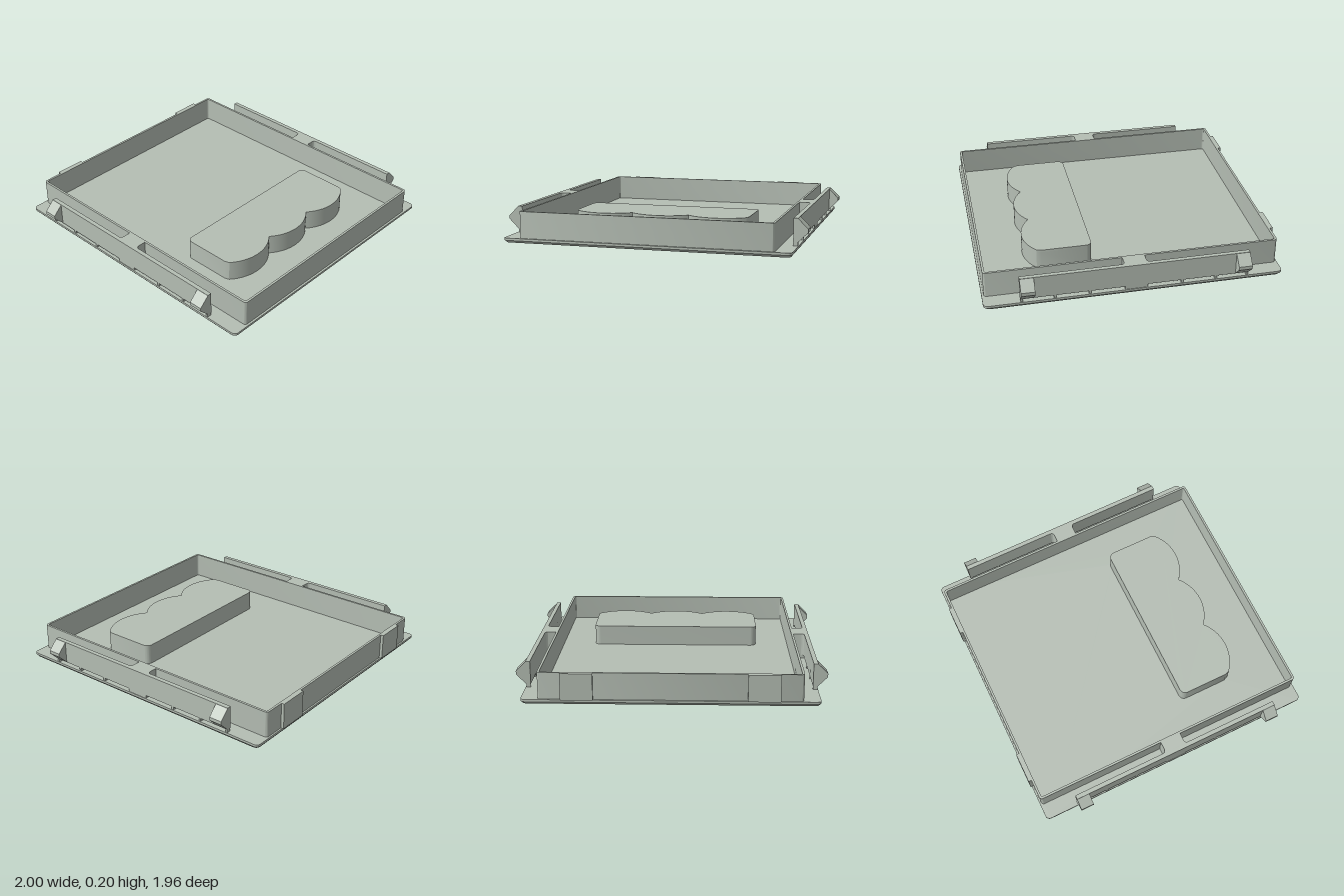
import * as THREE from 'three';
import { toCreasedNormals } from 'three/addons/utils/BufferGeometryUtils.js';

const body = new THREE.MeshStandardMaterial({ color: 0xb5beb4 });
body.name = 'sage grey';

const FLOOR = 0.03, TOP = 0.205;

// Rounded rectangle in plan, drawn as (x, z)
function roundRect(x0, z0, x1, z1, r, Type = THREE.Shape) {
  const s = new Type();
  s.moveTo(x0 + r, z0);
  s.lineTo(x1 - r, z0);
  s.absarc(x1 - r, z0 + r, r, -Math.PI / 2, 0);
  s.lineTo(x1, z1 - r);
  s.absarc(x1 - r, z1 - r, r, 0, Math.PI / 2);
  s.lineTo(x0 + r, z1);
  s.absarc(x0 + r, z1 - r, r, Math.PI / 2, Math.PI);
  s.lineTo(x0, z0 + r);
  s.absarc(x0 + r, z0 + r, r, Math.PI, Math.PI * 1.5);
  return s;
}

// Finger grip outline: straight back, three scallops at the front; t is an inset
function gripOutline(t, Type = THREE.Shape) {
  const s = new Type(), w = 0.587 - t, back = 0.22 + t, r = 0.04 - t;
  const R = 0.293 - t, zc = 0.367, step = 0.383;
  const cusp = Math.acos(step / 2 / R);
  const end = Math.acos((w - step) / R);
  s.moveTo(-w + r, back);
  s.lineTo(w - r, back);
  s.absarc(w - r, back + r, r, -Math.PI / 2, 0);
  s.lineTo(w, zc + R * Math.sin(end) - 0.02);
  s.absarc(step, zc, R, end + 0.05, Math.PI - cusp);
  s.absarc(0, zc, R, cusp, Math.PI - cusp);
  s.absarc(-step, zc, R, cusp, Math.PI - end - 0.05);
  s.lineTo(-w, zc + R * Math.sin(end) - 0.02);
  s.lineTo(-w, back + r);
  s.absarc(-w + r, back + r, r, Math.PI, Math.PI * 1.5);
  return s;
}

// Extrude a plan shape between two heights
function slab(shape, y0, y1, steps = 1) {
  const g = new THREE.ExtrudeGeometry(shape, { depth: y1 - y0, steps, bevelEnabled: false, curveSegments: 12 });
  return g.rotateX(Math.PI / 2).translate(0, y1, 0);
}

function add(parent, name, geometry) {
  const m = new THREE.Mesh(geometry, body);
  m.name = name;
  parent.add(m);
  return m;
}

function box(parent, name, x0, x1, y0, y1, z0, z1) {
  const g = new THREE.BoxGeometry(x1 - x0, y1 - y0, z1 - z0);
  return add(parent, name, g.translate((x0 + x1) / 2, (y0 + y1) / 2, (z0 + z1) / 2));
}

export function createModel() {
  const group = new THREE.Group();
  group.name = 'trayCover';

  // Base plate with the grip opening and a chamfered underside
  const plateShape = roundRect(-0.94, -0.976, 0.94, 0.976, 0.03);
  plateShape.holes.push(gripOutline(0.015, THREE.Path));
  const plate = slab(plateShape, 0, FLOOR, 2);
  const p = plate.attributes.position;
  for (let i = 0; i < p.count; i++) {
    const x = p.getX(i), z = p.getZ(i);
    if (p.getY(i) < 0.001 && (Math.abs(x) > 0.8 || Math.abs(z) > 0.8)) {
      p.setX(i, x * 0.988);
      p.setZ(i, z * 0.988);
    }
  }
  add(group, 'basePlate', toCreasedNormals(plate, 0.5));

  // Thin wall around the tray
  const wall = roundRect(-0.832, -0.965, 0.832, 0.962, 0.02);
  wall.holes.push(roundRect(-0.817, -0.95, 0.817, 0.947, 0.01, THREE.Path));
  add(group, 'trayWall', toCreasedNormals(slab(wall, FLOOR, TOP), 0.5));

  // Hollow scalloped finger grip, open from below
  const gripWall = gripOutline(0);
  gripWall.holes.push(gripOutline(0.015, THREE.Path));
  add(group, 'gripWall', toCreasedNormals(slab(gripWall, FLOOR, 0.153), 0.5));
  add(group, 'gripTop', toCreasedNormals(slab(gripOutline(0), 0.153, 0.168), 0.5));

  // Side rails, joined to the wall by a filleted bridge
  const xi = 0.907, xo = 0.936, L = 0.745, b = 0.073, f = 0.022;
  const rail = new THREE.Shape();
  rail.moveTo(0.831, -b);
  rail.lineTo(xi - f, -b);
  rail.absarc(xi - f, -b - f, f, Math.PI / 2, 0, true);
  rail.lineTo(xi, -L);
  rail.lineTo(xo, -L);
  rail.lineTo(xo, L);
  rail.lineTo(xi, L);
  rail.lineTo(xi, b + f);
  rail.absarc(xi - f, b + f, f, 0, -Math.PI / 2, true);
  rail.lineTo(0.831, b);

  // Snap wedge profile, drawn as (x, y)
  const wedge = new THREE.Shape([
    [0.93, 0.205], [0.936, 0.203], [1, 0.14], [1, 0.117], [0.936, 0.053], [0.93, 0.053],
  ].map(([x, y]) => new THREE.Vector2(x, y)));

  for (const side of [1, -1]) {
    const half = new THREE.Group();
    half.name = side > 0 ? 'leftSide' : 'rightSide';
    add(half, 'rail', toCreasedNormals(slab(rail, 0.052, TOP), 0.5));
    box(half, 'bridgeFoot', 0.831, xo, FLOOR, 0.052, -b, b);
    for (const s of [1, -1]) {
      // Small feet leave slots under the rail
      for (const z of [0.301, 0.524, 0.735]) {
        box(half, 'railFoot', xi, xo, FLOOR, 0.052, s * z - 0.007, s * z + 0.007);
      }
      const clip = new THREE.ExtrudeGeometry(wedge, { depth: 0.09, bevelEnabled: false });
      add(half, 'snapClip', clip.translate(0, 0, s * 0.7 - 0.045));
    }
    if (side < 0) half.rotation.y = Math.PI;
    group.add(half);

    // Raised pads on the back wall
    const x = side * 0.585;
    box(group, 'backPad', x - 0.102, x + 0.102, FLOOR, TOP, -0.985, -0.96);
  }
  return group;
}
